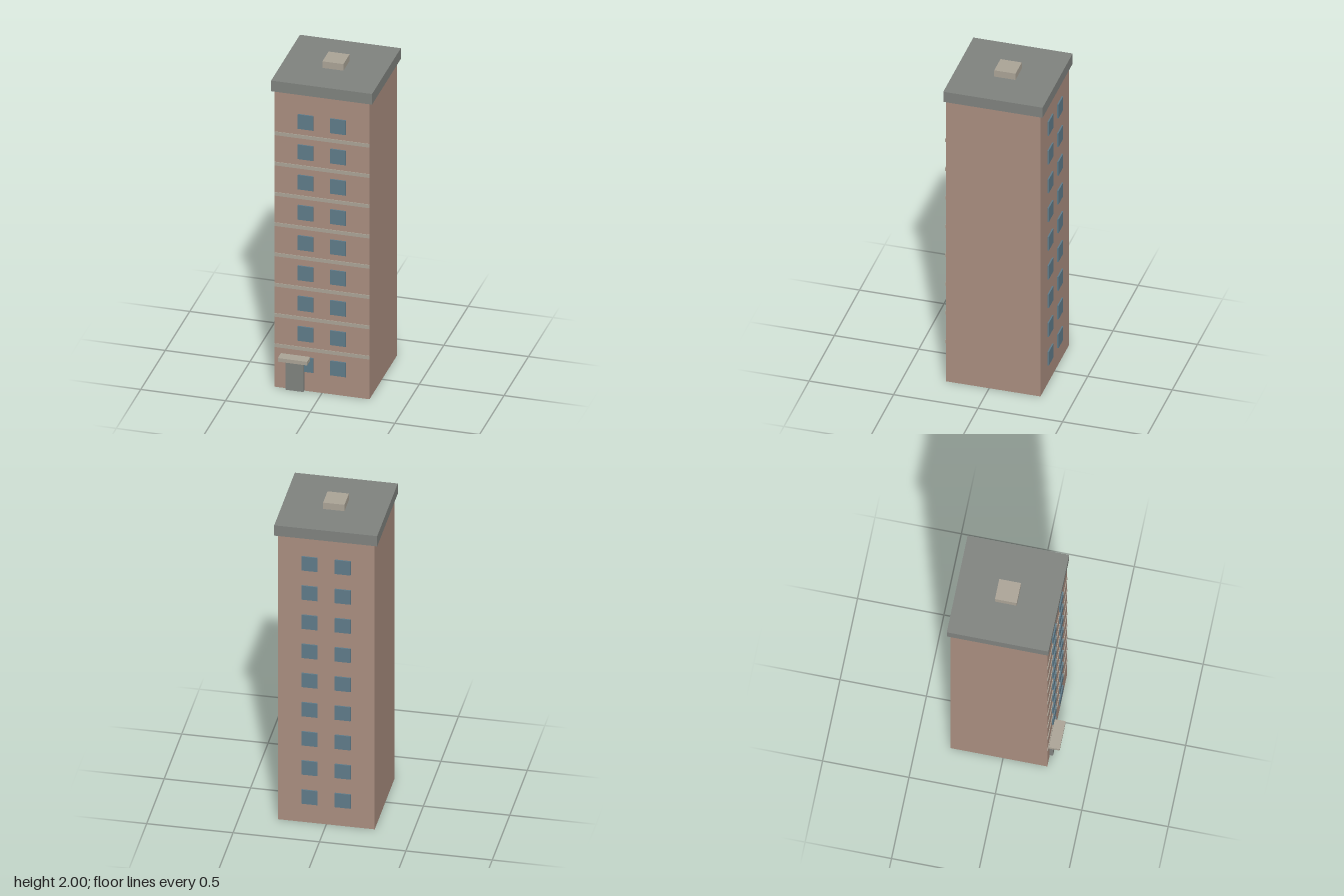
import * as THREE from 'three';

const mat = (name, color) => {
  const m = new THREE.MeshStandardMaterial({ color });
  m.name = name;
  return m;
};

export function createModel() {
  const brick = mat('brick', 0xa98d7f);
  const slate = mat('slate grey', 0x7f827e);
  const stone = mat('pale stone', 0xaaa396);
  const glass = mat('window blue', 0x5f7b89);

  const model = new THREE.Group();
  model.name = 'towerBlock';

  // Box given by its minimum and maximum on each axis
  const box = (name, material, [x0, x1], [y0, y1], [z0, z1]) => {
    const mesh = new THREE.Mesh(new THREE.BoxGeometry(x1 - x0, y1 - y0, z1 - z0), material);
    mesh.position.set((x0 + x1) / 2, (y0 + y1) / 2, (z0 + z1) / 2);
    mesh.name = name;
    model.add(mesh);
  };

  const front = 0.256, back = -0.304;

  // Tower, roof slab and rooftop housing
  box('tower', brick, [-0.28, 0.28], [0, 1.89], [back, front]);
  box('roofSlab', slate, [-0.298, 0.298], [1.89, 1.958], [-0.322, 0.266]);
  box('roofHousing', stone, [-0.062, 0.062], [1.958, 2], [-0.091, 0.035]);

  // Nine storeys of windows on front and back, stone bands between them on the front
  const storeys = 9, storeyHeight = 0.1934;
  for (let i = 0; i < storeys; i++) {
    const y = 0.17 + i * storeyHeight;
    for (const x of [-0.096, 0.096]) {
      const w = [x - 0.046, x + 0.046], h = [y - 0.046, y + 0.046];
      box('frontWindow', glass, w, h, [front - 0.001, front + 0.008]);
      box('backWindow', glass, w, h, [back - 0.008, back + 0.001]);
    }
    if (i < storeys - 1) {
      const b = y + storeyHeight / 2;
      box('floorBand', stone, [-0.28, 0.28], [b - 0.011, b + 0.011], [front - 0.001, front + 0.004]);
    }
  }

  // Entrance door with its canopy
  box('door', slate, [-0.21, -0.105], [0, 0.197], [front - 0.01, 0.275]);
  box('doorCanopy', stone, [-0.243, -0.07], [0.197, 0.22], [front - 0.01, 0.32]);

  return model;
}
